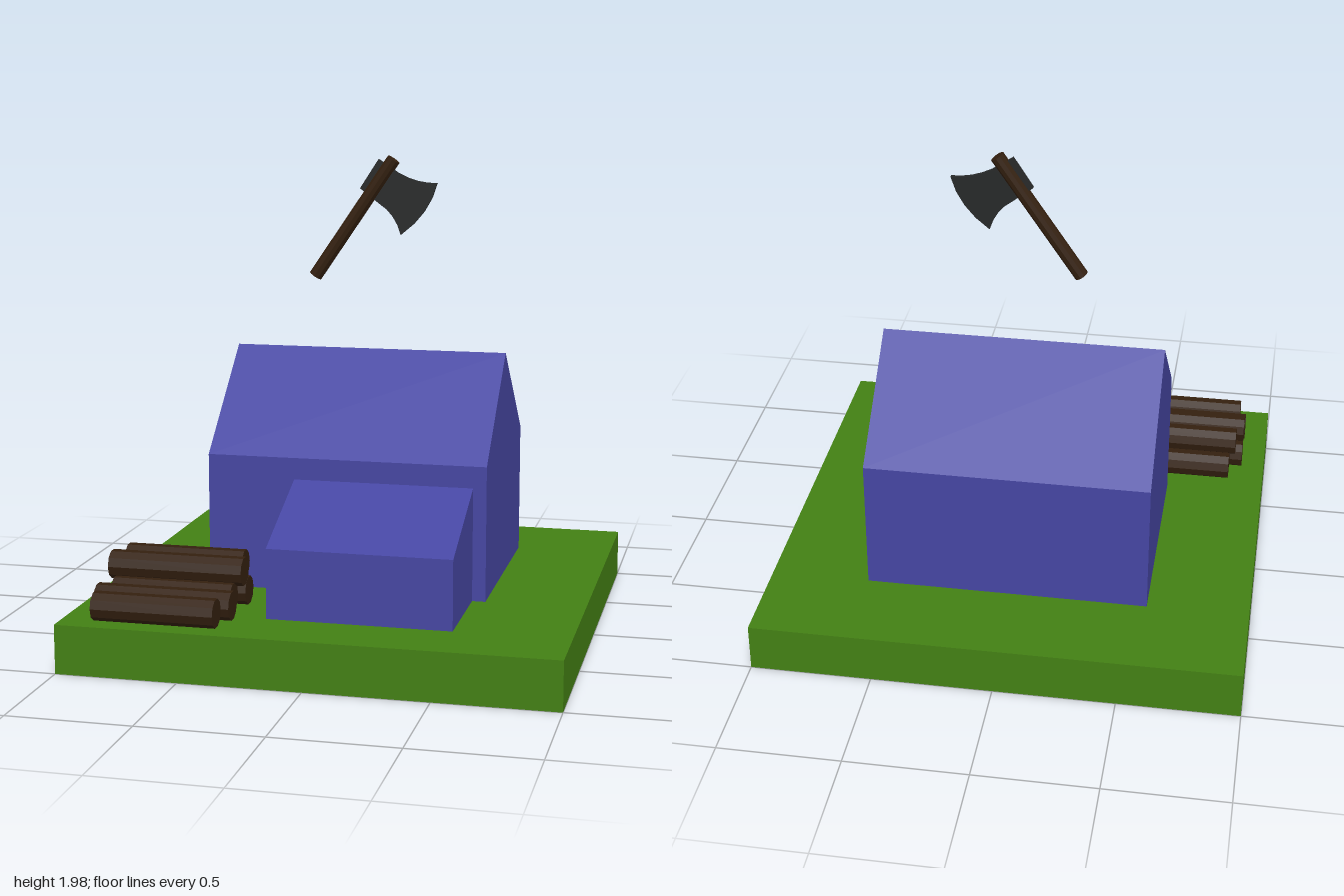
import * as THREE from 'three';

const mat = (color, extra = {}) => new THREE.MeshStandardMaterial({ color, flatShading: true, ...extra });

function add(parent, name, geometry, material) {
  const mesh = new THREE.Mesh(geometry, material);
  mesh.name = name;
  parent.add(mesh);
  return mesh;
}

// Extrudes a (z, y) side profile along x from x0 to x1
function sideExtrude(profile, x0, x1) {
  const shape = new THREE.Shape(profile.map(([z, y]) => new THREE.Vector2(-z, y)));
  const geometry = new THREE.ExtrudeGeometry(shape, { depth: x1 - x0, bevelEnabled: false });
  return geometry.rotateY(Math.PI / 2).translate(x0, 0, 0);
}

export function createModel() {
  const model = new THREE.Group();
  const grass = mat(0x438014);
  const wall = mat(0x4646a2);
  const wood = mat(0x34200f);
  const metal = mat(0x272929);

  // Ground slab
  add(model, 'ground', new THREE.BoxGeometry(2, 0.2, 2), grass).position.y = 0.1;

  // Gabled main house and lean-to porch
  const house = new THREE.Group();
  house.name = 'house';
  model.add(house);
  add(house, 'mainHouse', sideExtrude(
    [[0.3, 0.2], [-0.61, 0.2], [-0.61, 0.76], [-0.155, 1.157], [0.3, 0.76]], -0.58, 0.59), wall);
  add(house, 'porch', sideExtrude(
    [[0.735, 0.2], [0.3, 0.2], [0.3, 0.67], [0.735, 0.485]], -0.213, 0.535), wall);

  // Log pile: [z, y, length], five on the ground and two on top
  const logs = new THREE.Group();
  logs.name = 'logPile';
  model.add(logs);
  const low = 0.256, high = 0.35;
  [
    [0.89, low, 0.5], [0.772, low, 0.56], [0.654, low, 0.5], [0.536, low, 0.56], [0.424, low, 0.45],
    [0.6, high, 0.56], [0.484, high, 0.5],
  ].forEach(([z, y, length]) => {
    const geometry = new THREE.CylinderGeometry(0.059, 0.059, length, 10).rotateZ(Math.PI / 2);
    add(logs, 'log', geometry, wood).position.set(-0.62, y, z);
  });

  // Axe floating above the ridge
  const axe = new THREE.Group();
  axe.name = 'axe';
  axe.position.z = -0.147;
  model.add(axe);
  const bottom = new THREE.Vector3(-0.233, 1.465, 0);
  const top = new THREE.Vector3(0.107, 1.963, 0);
  const direction = top.clone().sub(bottom);
  const handle = add(axe, 'axeHandle', new THREE.CylinderGeometry(0.029, 0.029, direction.length(), 10), wood);
  handle.position.copy(bottom).lerp(top, 0.5);
  handle.quaternion.setFromUnitVectors(new THREE.Vector3(0, 1, 0), direction.normalize());

  // Flat head: square poll behind the handle, flared blade in front
  const head = new THREE.Shape();
  head.moveTo(-0.037, 1.84);
  head.lineTo(0.048, 1.775);
  head.quadraticCurveTo(0.115, 1.735, 0.139, 1.647);
  head.quadraticCurveTo(0.262, 1.735, 0.294, 1.866);
  head.quadraticCurveTo(0.21, 1.862, 0.128, 1.906);
  head.lineTo(0.043, 1.963);
  head.closePath();
  const headGeometry = new THREE.ExtrudeGeometry(head, { depth: 0.016, bevelEnabled: false, curveSegments: 4 });
  add(axe, 'axeHead', headGeometry.translate(0, 0, -0.008), metal);

  return model;
}
